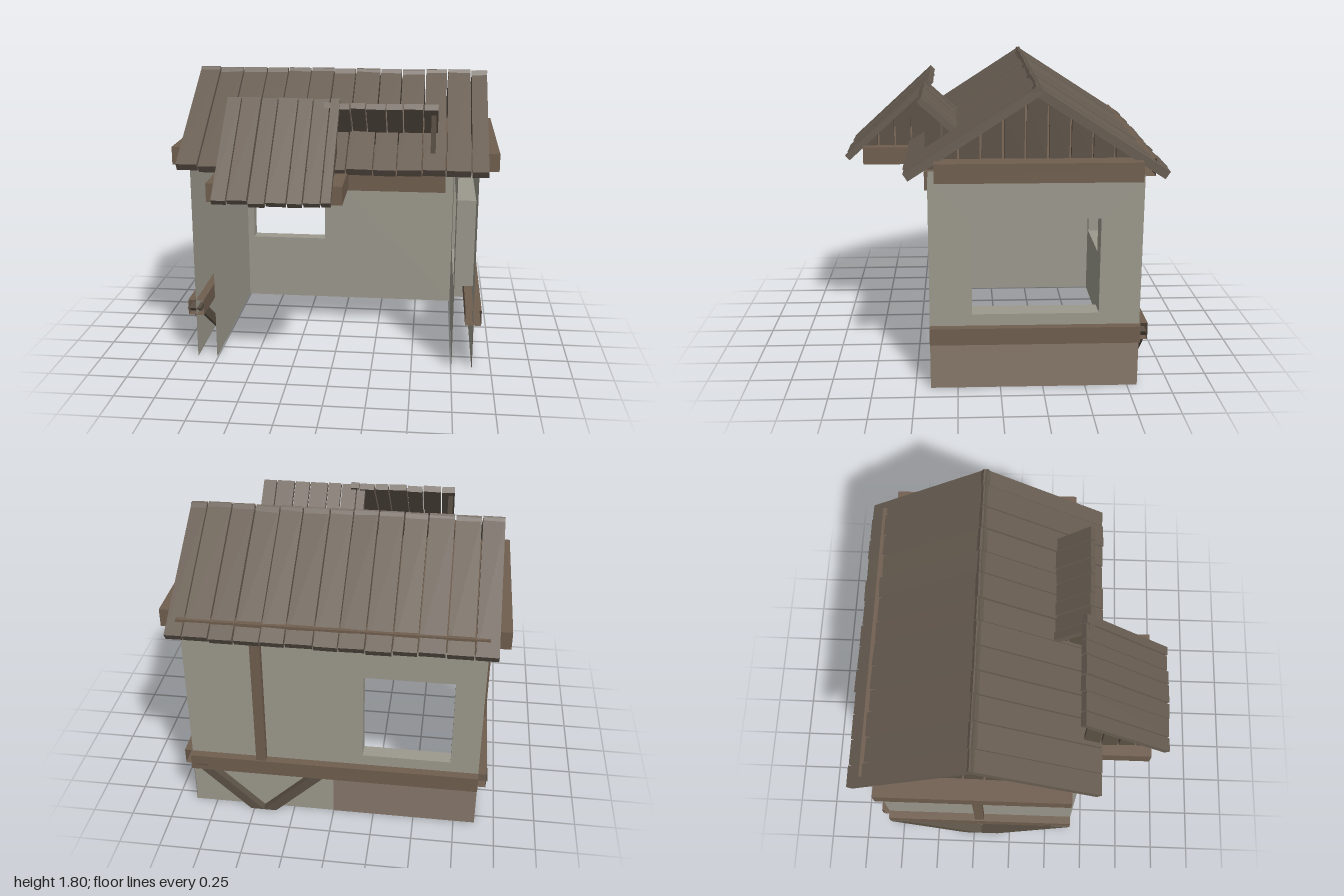
import * as THREE from 'three';

const mat = (color) => new THREE.MeshStandardMaterial({ color, side: THREE.DoubleSide, flatShading: true });
const M = {
  plaster: mat(0x9c998d), panel: mat(0x87776a), beam: mat(0x705e4f), roof: mat(0x685d52), dark: mat(0x5c5246),
};

function add(parent, name, geo, material, x = 0, y = 0, z = 0) {
  const m = new THREE.Mesh(geo, material);
  m.name = name;
  m.position.set(x, y, z);
  parent.add(m);
  return m;
}

const box = (w, h, d) => new THREE.BoxGeometry(w, h, d);

// Hollow box running along x, without its two end faces
function openBox(len, h, d) {
  const g = box(len, h, d);
  g.setIndex(Array.from(g.index.array).slice(12));
  g.clearGroups();
  return g;
}

const poly = (pts) => new THREE.Shape(pts.map(([a, b]) => new THREE.Vector2(a, b)));
const rect = (a0, a1, b0, b1) => [[a0, b0], [a1, b0], [a1, b1], [a0, b1]];
const extrude = (pts, depth) => new THREE.ExtrudeGeometry(poly(pts), { depth, bevelEnabled: false });

// Thin sheet with an optional rectangular hole, in the xy plane
function sheet(pts, hole) {
  const s = poly(pts);
  if (hole) s.holes.push(poly(hole));
  return new THREE.ShapeGeometry(s);
}

// Turns drawing coordinates (z, y) into a part facing along x
const facingX = (g) => g.rotateY(-Math.PI / 2);

// Small repeatable variation in -1..1
const wobble = (i) => {
  const v = Math.sin(i * 12.9898 + 4.1) * 43758.5453;
  return (v - Math.floor(v)) * 2 - 1;
};

// One roof slope of planks, from the ridge down towards dir * z
function slope(parent, name, edges, ridgeZ, ridgeY, run, drop, dir, thick, seed) {
  const g = new THREE.Group();
  g.name = name;
  const len = Math.hypot(run, drop);
  g.position.set(0, ridgeY, ridgeZ);
  g.rotation.x = dir * Math.atan2(drop, run);
  parent.add(g);
  for (let i = 0; i < edges.length - 1; i++) {
    const w = edges[i + 1] - edges[i];
    const l = len + wobble(i + seed) * 0.008;
    const m = add(g, 'roofPlank', box(w - 0.008, thick, l + 0.012), M.roof,
      (edges[i] + edges[i + 1]) / 2, -thick / 2 + wobble(i + seed + 40) * 0.004, dir * (l / 2 - 0.006));
    m.rotation.z = wobble(i + seed + 80) * 0.03;
  }
}

// Vertical gable boards between z0 and z1, cut to the height given by top(z)
function gable(parent, name, x, z0, z1, bottom, top, peak, n) {
  const g = new THREE.Group();
  g.name = name;
  parent.add(g);
  const step = (z1 - z0) / n;
  for (let i = 0; i < n; i++) {
    const a = z0 + i * step + 0.006, b = z0 + (i + 1) * step - 0.006;
    const pts = [[a, bottom], [b, bottom], [b, Math.max(top(b), bottom + 0.002)]];
    if (peak > a && peak < b) pts.push([peak, top(peak)]);
    pts.push([a, Math.max(top(a), bottom + 0.002)]);
    add(g, 'gableBoard', facingX(extrude(pts, 0.03)), M.dark, x + 0.015 + wobble(i) * 0.004);
  }
}

// V-shaped brace in the xy plane, centred on x = 0
function brace(parent, name, half, foot, depth) {
  const g = new THREE.Group();
  g.name = name;
  parent.add(g);
  for (const s of [-1, 1]) {
    const pts = [[0, 0], [s * foot, 0], [s * half, 0.33], [s * (half - foot), 0.33]];
    add(g, 'braceLeg', extrude(s > 0 ? pts : pts.reverse(), depth), M.dark);
  }
  return g;
}

// Half of the porch: one slope, its two half gables and its ceiling beam
function porchHalf(seed) {
  const g = new THREE.Group();
  slope(g, 'porchSlope', [-0.63, -0.54, -0.42, -0.32, -0.2, -0.11, -0.01, 0.05], 0, 1.695, 0.53, 0.485, 1, 0.04, seed);
  const top = (z) => 1.645 - 0.915 * z;
  for (const x of [-0.6, 0.015]) gable(g, 'porchGable', x, 0, 0.42, 1.25, top, -1, 4);
  add(g, 'porchBeam', box(0.78, 0.11, 0.41), M.beam, -0.29, 1.225, 0.205);
  return g;
}

export function createModel() {
  const root = new THREE.Group();
  root.name = 'house';
  const X = 0.88, IX = 0.755, F = 0.41, B = -0.81, IB = -0.72, H = 1.28;

  // Plaster walls: outer and inner skins, open at the front
  const backHole = rect(-0.71, -0.18, 0.46, 1.03), sideHole = rect(-0.57, 0.165, 0.46, 1.03);
  add(root, 'backWallOuter', sheet(rect(-X, X, 0, H), backHole), M.plaster, 0, 0, B);
  add(root, 'backWallInner', sheet(rect(-IX, IX, 0, H), backHole), M.plaster, 0, 0, IB);
  add(root, 'leftWallOuter', facingX(sheet(rect(B, F, 0, H), sideHole)), M.plaster, X);
  add(root, 'leftWallInner', facingX(sheet(rect(IB, F, 0, H), sideHole)), M.plaster, IX);
  add(root, 'rightWallOuter', facingX(sheet(rect(B, F, 0, H))), M.plaster, -X);
  add(root, 'rightWallInner', facingX(sheet(rect(IB, F, 0, H))), M.plaster, -IX);

  // Window reveals
  add(root, 'sideWindowReveal', openBox(X - IX, 0.57, 0.735), M.plaster, (X + IX) / 2, 0.745, -0.2025);
  add(root, 'backWindowReveal', openBox(IB - B, 0.57, 0.53).rotateY(Math.PI / 2), M.plaster, -0.445, 0.745, (B + IB) / 2);

  // Timber panels at the foot of the walls
  add(root, 'sidePanel', facingX(sheet(rect(B, F, 0, 0.3))), M.panel, X + 0.003);
  add(root, 'backPanel', sheet(rect(-X, 0, 0, 0.3)), M.panel, 0, 0, B - 0.003);

  // Hollow rails around the walls
  for (const s of [-1, 1]) {
    add(root, 'sideRail', openBox(F - B, 0.1, 0.1).rotateY(Math.PI / 2), M.beam, s * X, 0.34, (F + B) / 2);
  }
  add(root, 'backRail', openBox(2 * X, 0.1, 0.1), M.beam, 0, 0.34, B);
  add(root, 'backTopRail', openBox(2 * X, 0.1, 0.1), M.beam, 0, 1.325, B - 0.008);

  // Posts and braces
  add(root, 'backPost', box(0.06, 0.96, 0.06), M.beam, 0.44, 0.845, B - 0.012);
  add(root, 'sidePost', box(0.06, 0.92, 0.06), M.beam, -0.89, 0.825, -0.2);
  brace(root, 'backBrace', 0.42, 0.08, 0.05).position.set(0.44, 0, B - 0.05);
  const sideBrace = brace(root, 'sideBrace', 0.6, 0.115, 0.08);
  sideBrace.rotation.y = -Math.PI / 2;
  sideBrace.position.set(-0.86, 0, -0.2);

  // Main roof: ceiling beam, gables and two plank slopes
  add(root, 'ceilingBeam', box(2, 0.11, 1.15), M.beam, 0, 1.325, -0.205);
  const top = (z) => 1.735 - 0.645 * Math.abs(z + 0.2);
  for (const s of [-1, 1]) gable(root, 'mainGable', s * 0.86, -0.76, 0.36, 1.37, top, -0.2, 9);
  const edges = [-0.935, -0.8, -0.645, -0.49, -0.35, -0.2, -0.05, 0.09, 0.25, 0.39, 0.54, 0.68, 0.83, 0.935];
  slope(root, 'frontSlope', edges, -0.2, 1.79, 0.745, 0.48, 1, 0.05, 1);
  slope(root, 'backSlope', edges, -0.2, 1.79, 0.745, 0.48, -1, 0.05, 21);

  // Porch halves, one turned half round and staggered along the ridge
  const front = porchHalf(5), back = porchHalf(31);
  front.name = 'porchFrontHalf';
  front.position.z = 0.43;
  back.name = 'porchBackHalf';
  back.position.set(0, -0.02, 0.435);
  back.rotation.y = Math.PI;
  root.add(front, back);

  return root;
}
